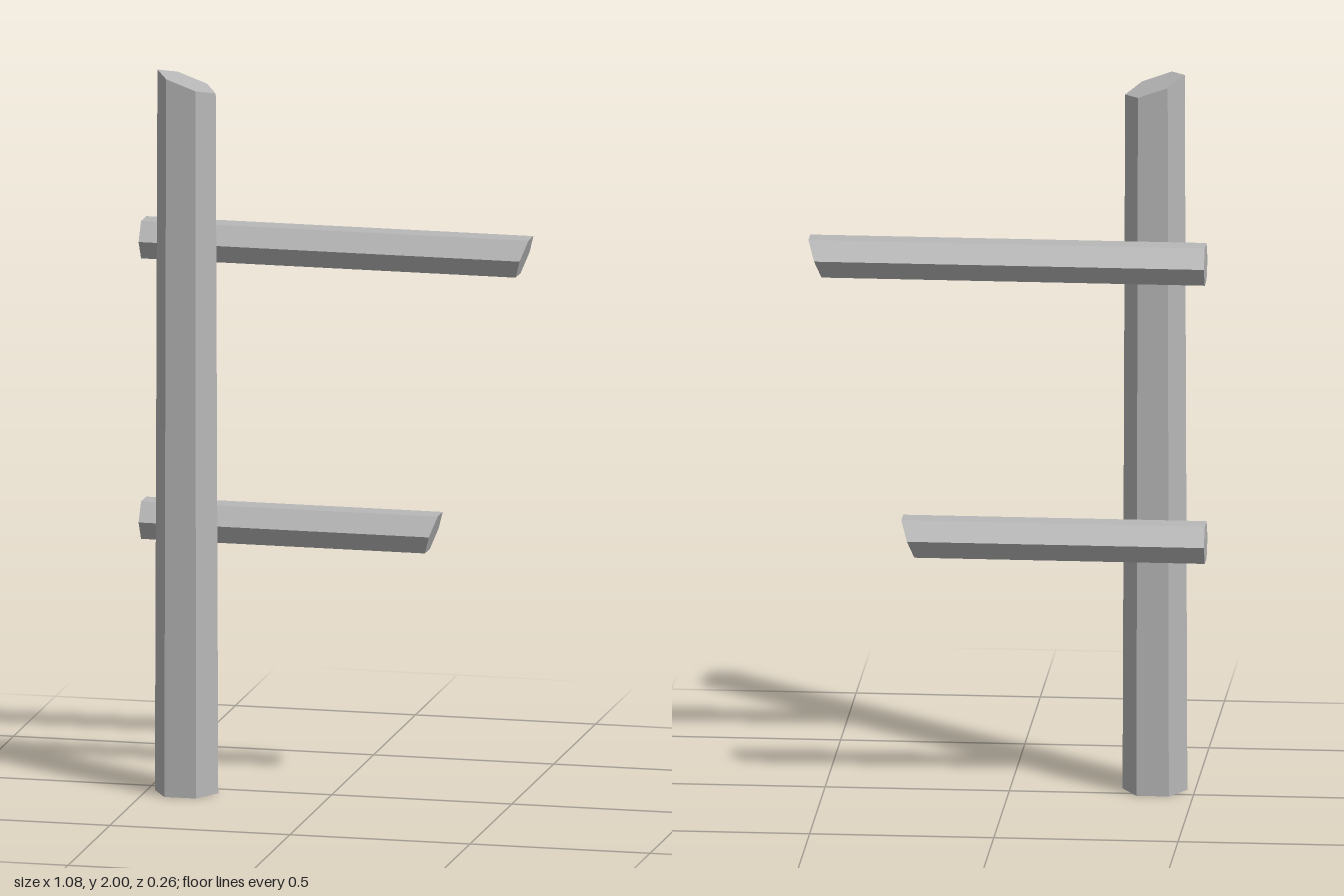
import * as THREE from 'three';

const weatheredGrey = new THREE.MeshStandardMaterial({ color: 0xb8b8b8 });
weatheredGrey.name = 'weatheredGrey';

// Move every vertex of a geometry by a rule
function reshape(geometry, rule) {
  const pos = geometry.attributes.position;
  const v = new THREE.Vector3();
  for (let i = 0; i < pos.count; i++) {
    v.fromBufferAttribute(pos, i);
    rule(v);
    pos.setXYZ(i, v.x, v.y, v.z);
  }
  const flat = geometry.toNonIndexed();
  flat.computeVertexNormals();
  return flat;
}

function addPart(group, name, geometry, x, y, z) {
  const mesh = new THREE.Mesh(geometry, weatheredGrey);
  mesh.name = name;
  mesh.position.set(x, y, z);
  group.add(mesh);
}

// Six-sided post, slightly tapered, with a slanted top
function postGeometry() {
  const g = new THREE.CylinderGeometry(0.081, 0.088, 2, 6, 1, false, Math.PI / 2);
  g.translate(0, 1, 0);
  return reshape(g, (v) => {
    if (v.y > 1) v.y = 1.97 - v.x * 0.36 + v.z * 0.07;
  });
}

// Six-sided rail running along x from its left-hand end, far end cut at an angle
function railGeometry(length) {
  const g = new THREE.CylinderGeometry(0.06, 0.06, length, 6);
  g.rotateZ(-Math.PI / 2);
  g.translate(length / 2, 0, 0);
  return reshape(g, (v) => {
    if (v.x > length / 2) v.x += v.y * 0.34;
  });
}

export function createModel() {
  const group = new THREE.Group();
  group.name = 'brokenFence';
  addPart(group, 'post', postGeometry(), -0.391, 0, 0.052);
  addPart(group, 'upperRail', railGeometry(1.058), -0.539, 1.503, -0.071);
  addPart(group, 'lowerRail', railGeometry(0.806), -0.539, 0.725, -0.071);
  return group;
}
